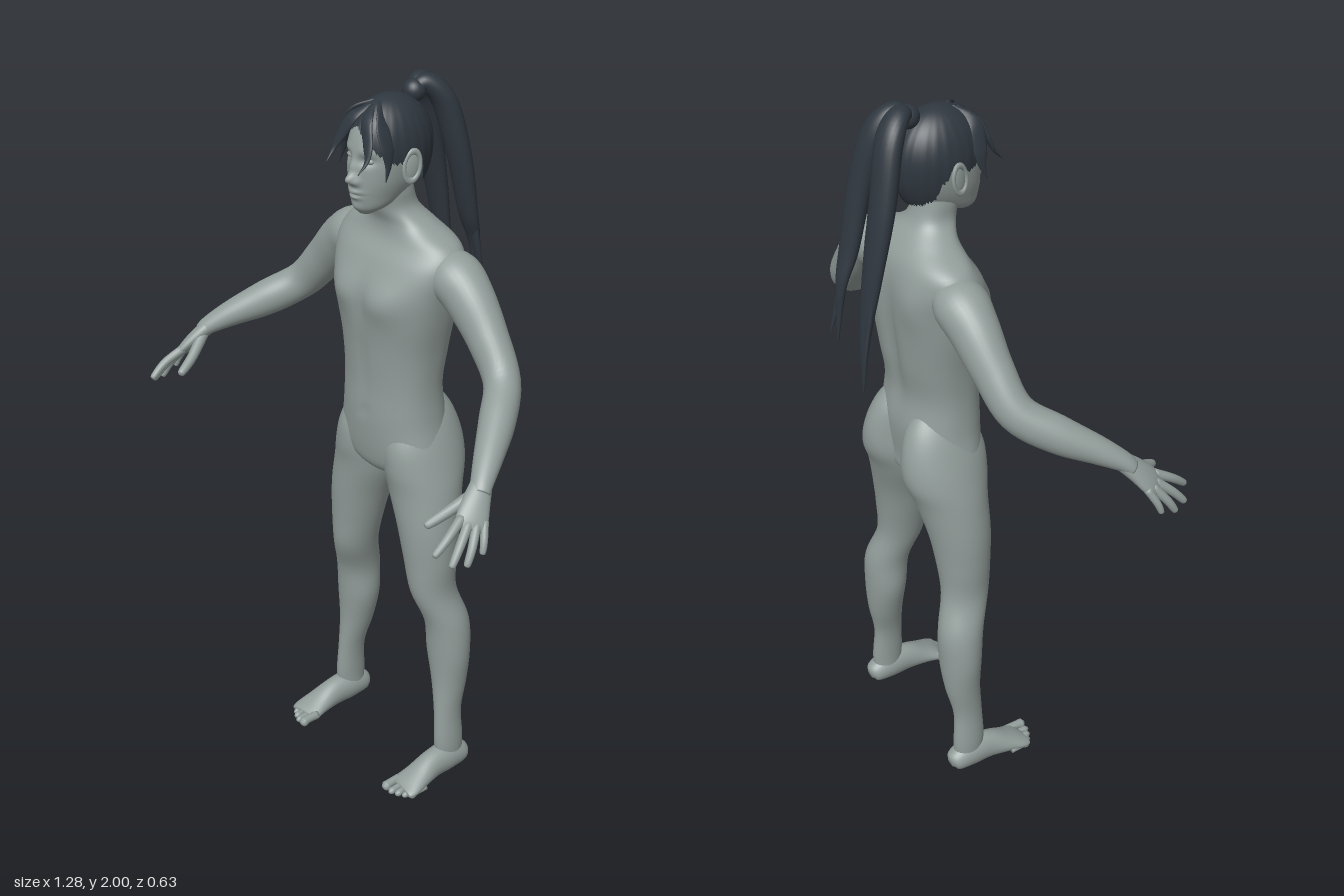
import * as THREE from 'three';

const V = (x, y, z) => new THREE.Vector3(x, y, z);

// Smooth tube through stations [x, y, z, radiusA, radiusB].
// Without ref the rings stay horizontal; with ref they follow the path and ref sets the A axis.
function loft(stations, { segs = 28, steps = 5, exp = 2, ref = null, warp = null } = {}) {
  const path = new THREE.CatmullRomCurve3(stations.map(s => V(s[0], s[1], s[2])), false, 'catmullrom');
  const radii = new THREE.CatmullRomCurve3(stations.map(s => V(s[3], s[4], 0)), false, 'catmullrom');
  const n = (stations.length - 1) * steps;
  const pos = [], idx = [];
  const put = p => { if (warp) warp(p); pos.push(p.x, p.y, p.z); };
  const sp = (c) => Math.sign(c) * Math.pow(Math.abs(c), 2 / exp);
  for (let i = 0; i <= n; i++) {
    const c = path.getPoint(i / n), r = radii.getPoint(i / n);
    const T = ref ? path.getTangent(i / n) : V(0, 1, 0);
    const A = (ref ? ref.clone() : V(1, 0, 0));
    A.addScaledVector(T, -A.dot(T)).normalize();
    const B = A.clone().cross(T);
    for (let j = 0; j < segs; j++) {
      const t = j / segs * Math.PI * 2;
      put(c.clone().addScaledVector(A, sp(Math.cos(t)) * r.x).addScaledVector(B, sp(Math.sin(t)) * r.y));
    }
  }
  for (let i = 0; i < n; i++) for (let j = 0; j < segs; j++) {
    const a = i * segs + j, b = i * segs + (j + 1) % segs, c = a + segs, d = b + segs;
    idx.push(a, c, b, b, c, d);
  }
  // end caps
  put(path.getPoint(0)); put(path.getPoint(1));
  const p0 = (n + 1) * segs, p1 = p0 + 1;
  for (let j = 0; j < segs; j++) {
    const k = (j + 1) % segs;
    idx.push(p0, j, k, p1, n * segs + k, n * segs + j);
  }
  const g = new THREE.BufferGeometry();
  g.setAttribute('position', new THREE.Float32BufferAttribute(pos, 3));
  g.setIndex(idx);
  g.computeVertexNormals();
  return g;
}

// Soft push of the surface in z: [x, y, z, radiusX, radiusY, pushZ], mirrored when x is not 0
function sculpt(dabs) {
  return p => {
    let dz = 0;
    for (const [x, y, z, rx, ry, push] of dabs) {
      const w = ((Math.abs(p.x) - x) / rx) ** 2 + ((p.y - y) / ry) ** 2 + ((p.z - z) / 0.06) ** 2;
      dz += push * Math.exp(-w);
    }
    p.z += dz;
  };
}

export function createModel() {
  const root = new THREE.Group();
  root.name = 'figure';
  const skin = new THREE.MeshStandardMaterial({ color: 0x929d9a });
  skin.name = 'skin grey';
  const hair = new THREE.MeshStandardMaterial({ color: 0x2f373f, side: THREE.DoubleSide });
  hair.name = 'hair dark slate';
  const add = (name, geo, mat, parent = root) => {
    const m = new THREE.Mesh(geo, mat);
    m.name = name;
    parent.add(m);
    return m;
  };

  // Torso and neck
  add('torso', loft([
    [0, 0.92, -0.075, 0.04, 0.05], [0, 0.95, -0.072, 0.12, 0.09], [0, 1.0, -0.067, 0.17, 0.1],
    [0, 1.1, -0.067, 0.155, 0.108], [0, 1.2, -0.063, 0.148, 0.102], [0, 1.3, -0.068, 0.156, 0.112],
    [0, 1.4, -0.069, 0.175, 0.122], [0, 1.48, -0.072, 0.19, 0.122], [0, 1.55, -0.085, 0.205, 0.106],
    [0, 1.6, -0.095, 0.185, 0.084], [0, 1.64, -0.085, 0.11, 0.068], [0, 1.68, -0.062, 0.064, 0.058],
    [0, 1.73, -0.048, 0.058, 0.056], [0, 1.78, -0.045, 0.055, 0.055],
  ], {
    segs: 64, steps: 6, exp: 2.25,
    warp: sculpt([
      [0.075, 1.45, 0.05, 0.06, 0.05, 0.014], [0, 1.45, 0.05, 0.02, 0.07, -0.006],
      [0, 1.35, -0.18, 0.025, 0.16, 0.014], [0.1, 1.5, -0.18, 0.05, 0.07, -0.012],
      [0, 1.12, 0.04, 0.015, 0.012, -0.005], [0, 1.25, 0.04, 0.015, 0.1, -0.004],
    ]),
  }), skin);

  // Head with sculpted face
  add('head', loft([
    [0, 1.68, 0.028, 0.02, 0.02], [0, 1.7, 0.01, 0.045, 0.05], [0, 1.73, -0.014, 0.06, 0.082],
    [0, 1.77, -0.028, 0.073, 0.098], [0, 1.82, -0.038, 0.08, 0.106], [0, 1.87, -0.042, 0.08, 0.103],
    [0, 1.92, -0.045, 0.062, 0.078], [0, 1.95, -0.045, 0.025, 0.035],
  ], {
    segs: 96, steps: 9, exp: 2.1,
    warp: sculpt([
      [0, 1.775, 0.08, 0.014, 0.014, 0.024], [0, 1.805, 0.08, 0.01, 0.025, 0.011],
      [0.033, 1.824, 0.06, 0.02, 0.011, -0.01], [0.016, 1.768, 0.075, 0.007, 0.008, 0.007],
      [0, 1.742, 0.075, 0.022, 0.006, 0.009], [0, 1.728, 0.075, 0.018, 0.006, 0.008],
      [0, 1.735, 0.075, 0.024, 0.003, -0.005], [0.035, 1.848, 0.06, 0.025, 0.01, 0.003],
      [0, 1.698, 0.06, 0.022, 0.014, 0.006],
    ]),
  }), skin);

  // Scalp hair: a dome whose lower edge follows the hairline
  const line = [[0, 1.905], [0.4, 1.88], [0.8, 1.84], [1.15, 1.815], [1.4, 1.815], [1.6, 1.84],
    [1.85, 1.8], [2.1, 1.75], [2.5, 1.735], [3.2, 1.725]];
  const hairline = a => {
    const i = Math.max(1, line.findIndex(p => p[0] >= a));
    const [a0, y0] = line[i - 1], [a1, y1] = line[i];
    return y0 + (y1 - y0) * THREE.MathUtils.smoothstep(a, a0, a1);
  };
  const scalp = new THREE.SphereGeometry(1, 96, 32);
  const sp = scalp.attributes.position, su = scalp.attributes.uv;
  for (let i = 0; i < sp.count; i++) {
    const t = Math.round(su.getX(i) * 96) / 96 * Math.PI * 2, v = Math.floor(i / 97) / 32;
    const a = Math.abs(t - Math.PI), y = hairline(a) - 1.84;
    const phi = v * Math.acos(y / (y > 0 ? 0.127 : 0.16));
    const c = Math.cos(phi), s = Math.sin(phi), lift = 1 + 0.008 * Math.sin(t * 24) * s;
    sp.setXYZ(i, -0.092 * s * Math.sin(t) * lift, 1.84 + c * (c > 0 ? 0.127 : 0.16),
      -0.045 - 0.12 * s * Math.cos(t) * lift);
  }
  // the seam runs down the nape; both edge columns share positions
  const si = scalp.index;
  for (let i = 0; i < si.count; i += 3) {
    const [a, b, c] = [0, 1, 2].map(k => V().fromBufferAttribute(sp, si.getX(i + k)));
    const nrm = b.clone().sub(a).cross(c.clone().sub(a));
    if (nrm.dot(a.add(b).add(c).divideScalar(3).sub(V(0, 1.84, -0.045))) < 0) {
      const k = si.getX(i + 1);
      si.setX(i + 1, si.getX(i + 2));
      si.setX(i + 2, k);
    }
  }
  scalp.computeVertexNormals();
  add('scalpHair', scalp, hair);

  // Hair knot
  add('hairKnot', new THREE.SphereGeometry(0.03, 24, 16), hair).position.set(0, 1.957, -0.125);
  const X = V(1, 0, 0);

  for (const s of [1, -1]) {
    const side = new THREE.Group();
    side.name = s > 0 ? 'leftSide' : 'rightSide';
    root.add(side);
    const tube = (name, st, mat, opt = {}) => add(name,
      loft(st.map(([x, ...r]) => [x * s, ...r]), { ...opt, ref: opt.ref && V(opt.ref.x * s, opt.ref.y, opt.ref.z) }), mat, side);

    // Leg with buttock
    tube('leg', [
      [0.218, 0.03, -0.092, 0.03, 0.04], [0.219, 0.1, -0.088, 0.031, 0.047], [0.213, 0.2, -0.088, 0.032, 0.043],
      [0.203, 0.3, -0.1, 0.048, 0.051], [0.195, 0.4, -0.102, 0.064, 0.058], [0.19, 0.5, -0.097, 0.061, 0.063],
      [0.165, 0.6, -0.068, 0.059, 0.067], [0.153, 0.7, -0.066, 0.073, 0.074], [0.138, 0.8, -0.07, 0.087, 0.085],
      [0.112, 0.9, -0.08, 0.1, 0.1], [0.099, 0.97, -0.088, 0.096, 0.118], [0.09, 1.04, -0.089, 0.083, 0.117],
      [0.078, 1.11, -0.092, 0.066, 0.093], [0.07, 1.17, -0.09, 0.035, 0.055],
    ], skin, { segs: 40 });

    // Foot and toes
    const floor = p => { p.y = Math.max(p.y, 0); };
    tube('foot', [
      [0.22, 0.03, -0.15, 0.012, 0.014], [0.22, 0.034, -0.135, 0.031, 0.032], [0.22, 0.042, -0.085, 0.037, 0.045],
      [0.221, 0.04, -0.025, 0.036, 0.043], [0.224, 0.026, 0.035, 0.043, 0.029], [0.224, 0.016, 0.075, 0.049, 0.018],
      [0.222, 0.013, 0.092, 0.043, 0.01],
    ], skin, { ref: X, warp: floor });
    [[0.188, 0.014, 0.128], [0.211, 0.01, 0.126], [0.23, 0.01, 0.118], [0.247, 0.009, 0.107], [0.262, 0.009, 0.094]]
      .forEach(([x, r, z]) => tube('toe', [
        [x, r + 0.003, z - 0.06, r * 0.9, r], [x, r + 0.003, z - 0.025, r * 0.85, r * 0.9],
        [x, r, z - 0.009, r, r], [x, r, z, r * 0.4, r * 0.4],
      ], skin, { ref: X, segs: 12, warp: floor }));

    // Arm
    tube('arm', [
      [0.12, 1.545, -0.1, 0.04, 0.045], [0.185, 1.532, -0.1, 0.066, 0.07], [0.245, 1.49, -0.099, 0.066, 0.063],
      [0.32, 1.41, -0.094, 0.057, 0.052], [0.395, 1.325, -0.075, 0.05, 0.047], [0.46, 1.27, 0.0, 0.049, 0.046],
      [0.517, 1.226, 0.08, 0.036, 0.037], [0.553, 1.193, 0.133, 0.025, 0.029], [0.567, 1.174, 0.155, 0.019, 0.026],
    ], skin, { ref: V(0, 1, 0), segs: 32, steps: 6 });

    // Palm, fingers and thumb
    const across = V(0.035, -0.01, -0.055);
    tube('palm', [
      [0.547, 1.2, 0.123, 0.024, 0.022], [0.57, 1.162, 0.165, 0.034, 0.02], [0.588, 1.128, 0.196, 0.04, 0.016],
      [0.597, 1.11, 0.212, 0.032, 0.009],
    ], skin, { ref: across });
    [
      ['indexFinger', [0.573, 1.135, 0.215], [0.585, 1.105, 0.268], [0.585, 1.07, 0.313], 0.0115],
      ['middleFinger', [0.588, 1.125, 0.206], [0.608, 1.085, 0.252], [0.619, 1.045, 0.288], 0.0115],
      ['ringFinger', [0.6, 1.12, 0.192], [0.622, 1.078, 0.225], [0.631, 1.038, 0.25], 0.011],
      ['littleFinger', [0.606, 1.123, 0.172], [0.626, 1.085, 0.191], [0.634, 1.055, 0.202], 0.0095],
      ['thumb', [0.553, 1.17, 0.158], [0.525, 1.128, 0.218], [0.506, 1.1, 0.272], 0.014],
    ].forEach(([name, a, b, c, r]) => tube(name, [
      [...a, r * 1.1, r * 1.1], [...b, r, r], [...c.map((v, i) => v * 0.85 + b[i] * 0.15), r * 0.8, r * 0.8],
      [...c, r * 0.3, r * 0.3],
    ], skin, { ref: across, segs: 14 }));

    // Ear with rim
    const ear = new THREE.Group();
    ear.name = 'ear';
    ear.position.set(s * 0.089, 1.808, -0.04);
    ear.rotation.set(-0.15, -s * 0.25, 0);
    side.add(ear);
    add('earBody', new THREE.SphereGeometry(1, 20, 14), skin, ear).scale.set(0.008, 0.038, 0.022);
    const rim = add('earRim', new THREE.TorusGeometry(0.022, 0.005, 10, 28), skin, ear);
    rim.rotation.y = Math.PI / 2;
    rim.scale.set(1, 1.7, 1);
    rim.position.x = s * 0.005;

    // Closed eye
    add('eyelid', new THREE.SphereGeometry(1, 20, 12), skin, side)
      .position.set(s * 0.033, 1.824, 0.046);
    side.children.at(-1).scale.set(0.015, 0.008, 0.01);

    // Fringe locks sweeping from the parting
    tube('fringe', [
      [0.004, 1.95, 0.01, 0.006, 0.004], [0.026, 1.922, 0.048, 0.018, 0.006], [0.052, 1.872, 0.066, 0.016, 0.006],
      [0.063, 1.838, 0.08, 0.007, 0.004], [0.06, 1.81, 0.105, 0.001, 0.001],
    ], hair, { ref: X, segs: 14 });
    tube('templeLock', [
      [0.01, 1.957, -0.005, 0.006, 0.004], [0.055, 1.92, 0.025, 0.005, 0.02], [0.078, 1.865, 0.028, 0.005, 0.02],
      [0.085, 1.825, 0.03, 0.004, 0.011], [0.09, 1.785, 0.042, 0.001, 0.001],
    ], hair, { ref: X, segs: 14 });

    // Ponytail strand; the right one is longer and fuller
    const k = s < 0 ? 1 : 0.88, drop = s < 0 ? 0 : 0.08;
    tube('ponytail', [
      [0.0, 1.955, -0.12, 0.016, 0.016], [0.012, 1.972, -0.155, 0.03 * k, 0.025], [0.032, 1.92, -0.197, 0.042 * k, 0.03],
      [0.053, 1.78, -0.23, 0.042 * k, 0.028], [0.057, 1.62, -0.262, 0.036 * k, 0.021],
      [0.055, 1.44 + drop, -0.29, 0.021 * k, 0.012], [0.06, 1.28 + drop, -0.302, 0.002, 0.002],
    ], hair, { ref: X, segs: 24, steps: 8 });
    tube('looseLock', [
      [0.06, 1.66, -0.262, 0.014, 0.008], [0.07, 1.54, -0.28, 0.014, 0.008], [0.076, 1.44, -0.297, 0.008, 0.005],
      [0.084, 1.37, -0.312, 0.001, 0.001],
    ], hair, { ref: X, segs: 12 });
  }
  return root;
}
